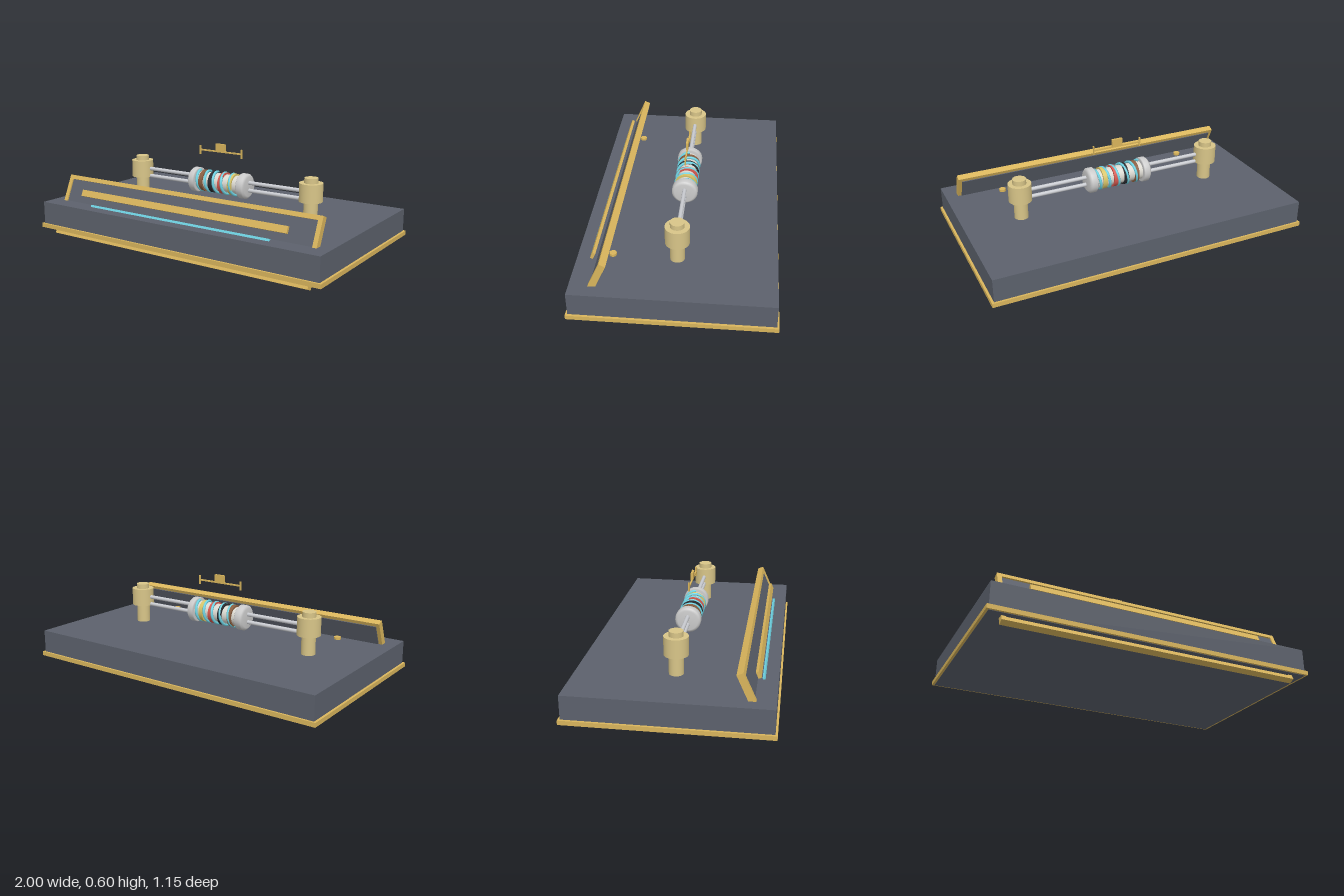
import * as THREE from 'three';

const mat = (color) => new THREE.MeshStandardMaterial({ color });
const SLATE = mat(0x5c616c), GOLD = mat(0xd9b55c), BRASS = mat(0xd8c588), STEEL = mat(0xc9cbd0);
const CERAMIC = mat(0xdcdad2), CYAN = mat(0x6fd3e3);

function add(parent, name, geometry, material, x = 0, y = 0, z = 0) {
  const mesh = new THREE.Mesh(geometry, material);
  mesh.name = name;
  mesh.position.set(x, y, z);
  parent.add(mesh);
  return mesh;
}
const box = (w, h, d) => new THREE.BoxGeometry(w, h, d);
const cyl = (r, h, n = 32) => new THREE.CylinderGeometry(r, r, h, n);
const rodX = (r, h, n = 32) => cyl(r, h, n).rotateZ(Math.PI / 2);

function group(parent, name, x = 0, y = 0, z = 0) {
  const g = new THREE.Group();
  g.name = name;
  g.position.set(x, y, z);
  parent.add(g);
  return g;
}

export function createModel() {
  const model = new THREE.Group();
  model.name = 'resistorDisplay';

  // Base slab with a gold skirt
  add(model, 'base', box(1.972, 0.168, 1.13), SLATE, 0, 0.131);
  add(model, 'baseTrim', box(2, 0.026, 1.154), GOLD, 0, 0.062);

  // Terminal posts, lead wires and locating studs
  for (const s of [-1, 1]) {
    const post = group(model, s > 0 ? 'leftPost' : 'rightPost', s * 0.632, 0, 0);
    add(post, 'postStem', cyl(0.042, 0.125), BRASS, 0, 0.273);
    add(post, 'postHead', cyl(0.07, 0.11), BRASS, 0, 0.385);
    add(post, 'postCap', cyl(0.041, 0.03), BRASS, 0, 0.455);
    for (const dy of [-0.024, 0.024])
      add(model, 'leadWire', rodX(0.012, 0.45, 16), STEEL, s * 0.405, 0.362 + dy, 0);
    add(model, 'stud', cyl(0.021, 0.016, 20), GOLD, s * 0.635, 0.222, 0.366);
  }

  // Resistor body, end caps, colour bands and spiral winding
  const resistor = group(model, 'resistor', 0, 0.362, 0);
  add(resistor, 'body', rodX(0.057, 0.34), CERAMIC);
  const capProfile = [[0, 0.155], [0.072, 0.155], [0.078, 0.161], [0.078, 0.194], [0.072, 0.201], [0.06, 0.21], [0, 0.21]]
    .map(([r, y]) => new THREE.Vector2(r, y));
  for (const s of [-1, 1]) {
    const cap = new THREE.LatheGeometry(capProfile, 32).rotateZ(-s * Math.PI / 2);
    add(resistor, 'endCap', cap, mat(0xd6d6d6));
  }
  [0x8a5f42, 0x2a2c30, 0xd85a50, 0xd9c56a].forEach((color, i) =>
    add(resistor, 'colourBand', rodX(0.068, 0.027), mat(color), -0.112 + i * 0.072));

  const points = [], turns = 5;
  for (let i = 0; i <= turns * 16; i++) {
    const t = i / (turns * 16), a = t * turns * Math.PI * 2;
    points.push(new THREE.Vector3(-0.152 + t * 0.304, Math.cos(a) * 0.064, Math.sin(a) * 0.064));
  }
  add(resistor, 'winding', new THREE.TubeGeometry(new THREE.CatmullRomCurve3(points), 200, 0.0085, 8), CYAN);

  // Floating span marker
  const marker = group(model, 'spanMarker', 0, 0.556, 0);
  add(marker, 'markerBar', box(0.31, 0.009, 0.009), GOLD);
  add(marker, 'markerBlock', box(0.068, 0.044, 0.014), GOLD, 0, 0.027);
  for (const s of [-1, 1]) add(marker, 'markerEnd', box(0.008, 0.056, 0.01), GOLD, s * 0.154);

  // Tilted name plate: slate panel in a gold frame
  const plate = group(model, 'frontPlate', 0, 0.1875, 0.451);
  plate.rotation.x = -0.42;
  add(plate, 'panel', box(1.775, 0.345, 0.036), SLATE, 0, 0, -0.007);
  for (const s of [-1, 1]) {
    add(plate, 'frameRail', box(1.82, 0.026, 0.039), GOLD, 0, s * 0.181, 0);
    add(plate, 'frameSide', box(0.026, 0.336, 0.039), GOLD, s * 0.897, 0, 0);
  }
  add(plate, 'plateBar', box(1.48, 0.04, 0.017), GOLD, 0, 0.086, 0.047);
  add(plate, 'plateLine', box(1.29, 0.016, 0.012), CYAN, 0, 0.014, 0.043);

  return model;
}
